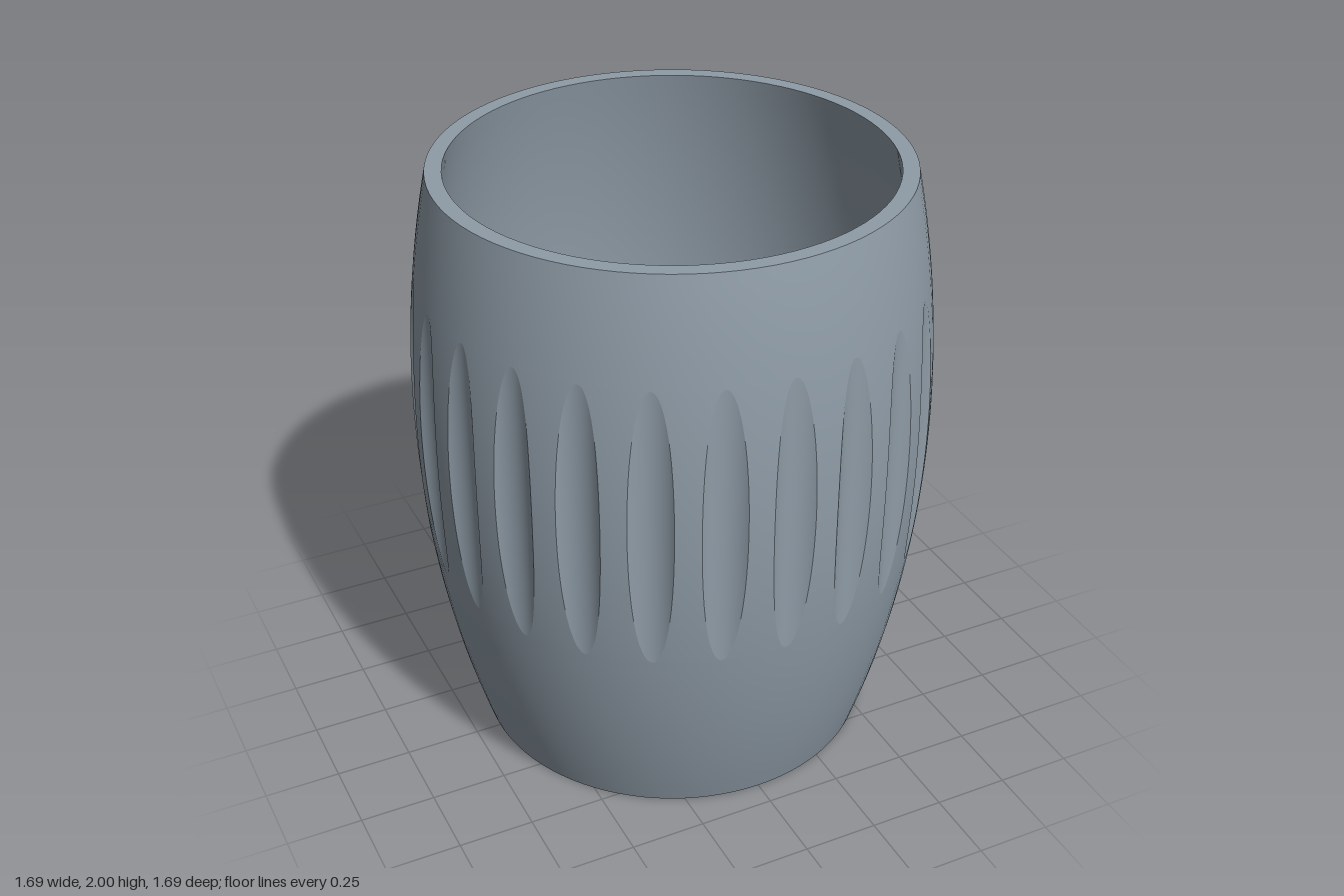
import * as THREE from 'three';
import { mergeGeometries } from 'three/addons/utils/BufferGeometryUtils.js';

const FLUTES = 24, PITCH = (Math.PI * 2) / FLUTES, SEGMENTS = FLUTES * 4;
const HEIGHT = 2, FLOOR_Y = 0.07, HOLE_R = 0.09;

// Circular-arc barrel profiles: radius and slope at a height
const OUTER = { max: 0.846, mid: 1.176, arc: 3.9 };
const INNER = { max: 0.781, mid: 1.222, arc: 4.0 };
const radius = (p, y) => p.max - p.arc + Math.sqrt(p.arc ** 2 - (y - p.mid) ** 2);

// Vertical round cutters that scoop the flutes
const FLUTE_BOTTOM = 0.816, CUT_R = 0.104, CUT_C = FLUTE_BOTTOM + CUT_R;
const bandHalf = Math.sqrt(OUTER.arc ** 2 - (FLUTE_BOTTOM - OUTER.max + OUTER.arc) ** 2);
const BAND_LOW = OUTER.mid - bandHalf, BAND_HIGH = OUTER.mid + bandHalf;

function arcPoints(p, y0, y1, n) {
  return Array.from({ length: n + 1 }, (_, i) => {
    const y = y0 + ((y1 - y0) * i) / n;
    return [radius(p, y), y];
  });
}

function lathe(name, points, material) {
  const profile = points.map(([r, y]) => new THREE.Vector2(r, y));
  const mesh = new THREE.Mesh(new THREE.LatheGeometry(profile, SEGMENTS), material);
  mesh.name = name;
  return mesh;
}

// Grid surface from a rule giving position and normal at (u, v)
function grid(nu, nv, rule) {
  const positions = [], normals = [], index = [];
  for (let j = 0; j <= nv; j++) {
    for (let i = 0; i <= nu; i++) {
      const { p, n } = rule(i / nu, j / nv);
      positions.push(...p.toArray());
      normals.push(...n.normalize().toArray());
      if (i < nu && j < nv) {
        const a = j * (nu + 1) + i, d = a + nu + 1;
        index.push(a, a + 1, d, a + 1, d + 1, d);
      }
    }
  }
  const g = new THREE.BufferGeometry();
  g.setAttribute('position', new THREE.Float32BufferAttribute(positions, 3));
  g.setAttribute('normal', new THREE.Float32BufferAttribute(normals, 3));
  g.setIndex(index);
  return g;
}

// Height along the band, with rows packed towards the flute tips
const bandY = (v) => OUTER.mid - bandHalf * Math.cos(Math.PI * v);

// Half angle of a flute at a height
function fluteAngle(y) {
  const r = radius(OUTER, y);
  const c = (r * r + CUT_C ** 2 - CUT_R ** 2) / (2 * r * CUT_C);
  return Math.acos(Math.min(1, c));
}

// Scooped channel
function fluteRule(u, v) {
  const y = bandY(v), r = radius(OUTER, y), a = fluteAngle(y);
  const x = r * Math.sin(a) * (2 * u - 1);
  const z = CUT_C - Math.sqrt(CUT_R ** 2 - x * x);
  return { p: new THREE.Vector3(x, y, z), n: new THREE.Vector3(-x, 0, CUT_C - z) };
}

// Barrel surface left between two flutes
function landRule(u, v) {
  const y = bandY(v), r = radius(OUTER, y), a = fluteAngle(y);
  const phi = a + (PITCH - 2 * a) * u;
  const s = Math.sin(phi), c = Math.cos(phi), rise = r - OUTER.max + OUTER.arc;
  return {
    p: new THREE.Vector3(r * s, y, r * c),
    n: new THREE.Vector3(rise * s, y - OUTER.mid, rise * c),
  };
}

function ringOf(name, geometry, material) {
  const copies = Array.from({ length: FLUTES }, (_, i) => geometry.clone().rotateY(i * PITCH));
  const mesh = new THREE.Mesh(mergeGeometries(copies), material);
  mesh.name = name;
  return mesh;
}

export function createModel() {
  const group = new THREE.Group();
  group.name = 'flutedBarrelCup';
  const grey = new THREE.MeshStandardMaterial({ color: 0x8e9ba6 });
  grey.name = 'blueGrey';

  const rimOuter = radius(OUTER, HEIGHT), rimInner = radius(INNER, HEIGHT);
  const baseR = radius(OUTER, 0), floorR = radius(INNER, FLOOR_Y);

  group.add(
    // Outer wall
    lathe('lowerWall', arcPoints(OUTER, 0, BAND_LOW, 14), grey),
    ringOf('flutes', grid(10, 28, fluteRule), grey),
    ringOf('lands', grid(4, 28, landRule), grey),
    lathe('upperWall', arcPoints(OUTER, BAND_HIGH, HEIGHT, 8), grey),
    // Rim and inside
    lathe('rim', [[rimOuter, HEIGHT], [rimInner, HEIGHT]], grey),
    lathe('innerWall', arcPoints(INNER, HEIGHT, FLOOR_Y, 32), grey),
    lathe('floor', [[floorR, FLOOR_Y], [HOLE_R, FLOOR_Y]], grey),
    // Drain hole and underside
    lathe('drainHole', [[HOLE_R, FLOOR_Y], [HOLE_R, 0]], grey),
    lathe('underside', [[HOLE_R, 0], [baseR, 0]], grey),
  );
  return group;
}
